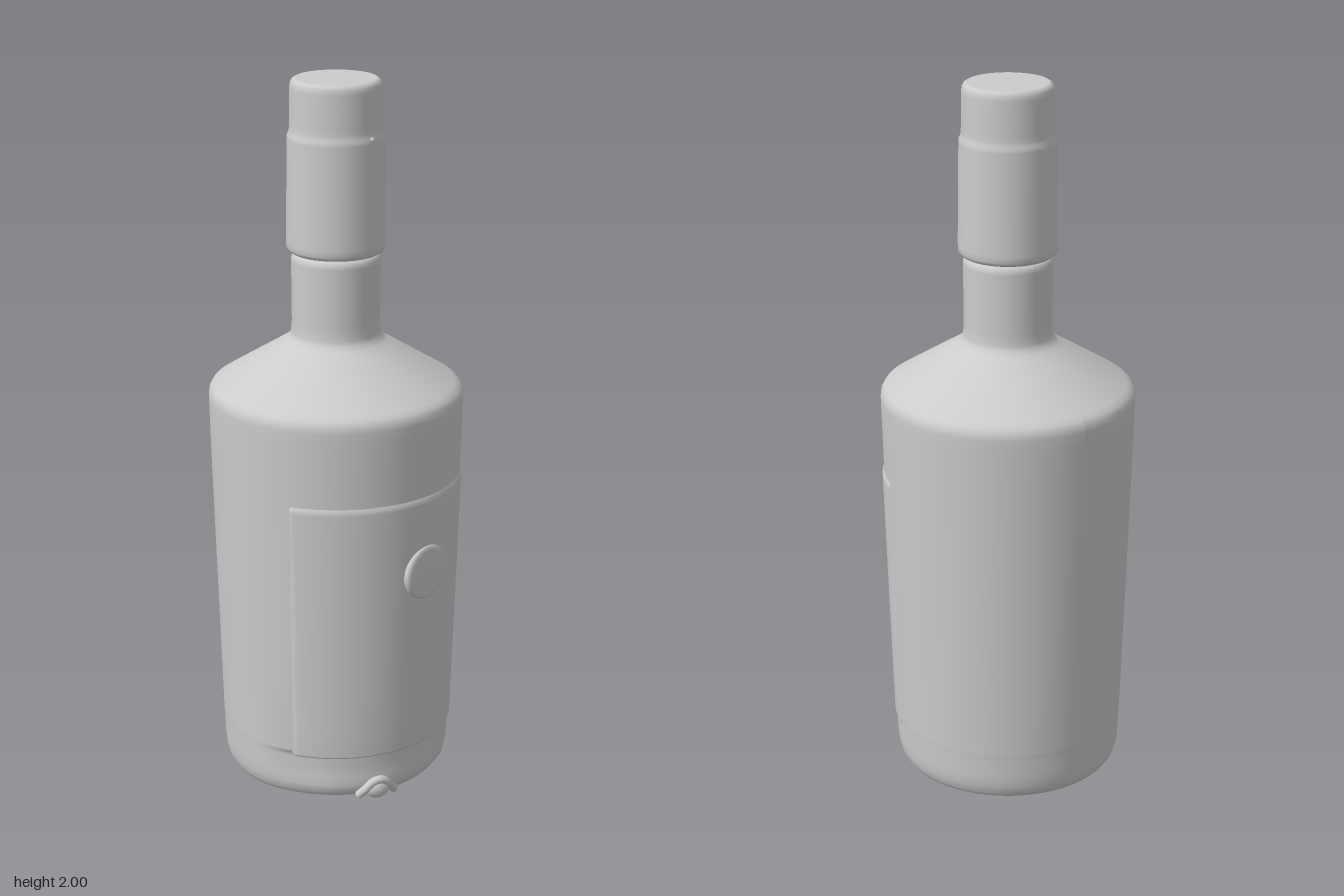
import * as THREE from 'three';

const material = new THREE.MeshStandardMaterial({ color: 0xcccccc, side: THREE.DoubleSide });

// Radius of the gently tapering bottle wall at height y
const wallRadius = (y) => 0.322 + 0.0305 * y;

function lathe(name, profile, segments = 96, start = Math.PI, length = Math.PI * 2) {
  const points = profile.map(([r, y]) => new THREE.Vector2(r, y));
  const mesh = new THREE.Mesh(new THREE.LatheGeometry(points, segments, start, length), material);
  mesh.name = name;
  return mesh;
}

// Bottle glass: base, tapered wall, sloping shoulder and neck
function createBottle() {
  const profile = [
    [0, 0], [0.285, 0], [0.288, 0], [0.304, 0.008], [0.314, 0.022], [0.32, 0.045], [0.323, 0.07],
    [0.324, 0.1], [0.325, 0.13], [0.326, 0.142], [0.327, 0.155],
    [wallRadius(0.5), 0.5], [wallRadius(0.9), 0.9], [0.354, 1.08], [0.355, 1.115],
    [0.353, 1.132], [0.345, 1.146], [0.33, 1.156], [0.16, 1.262], [0.14, 1.275], [0.128, 1.287],
    [0.124, 1.3], [0.122, 1.33], [0.123, 1.5], [0.122, 1.512], [0.116, 1.52], [0.108, 1.523], [0.108, 1.54],
  ];
  const bottle = lathe('bottle', profile);
  // The front of the foot is set back beneath the label
  const position = bottle.geometry.attributes.position;
  for (let i = 0; i < position.count; i++) {
    const x = position.getX(i), y = position.getY(i), z = position.getZ(i);
    if (y > 0.145) continue;
    const facing = Math.max(0, Math.cos(Math.atan2(x, z) + 0.3));
    const amount = THREE.MathUtils.smoothstep(facing, 0.4, 0.85);
    const scale = 1 - 0.055 * amount * (y < 0.05 ? 0.6 : 1);
    position.setX(i, x * scale);
    position.setZ(i, z * scale);
  }
  bottle.geometry.computeVertexNormals();
  return bottle;
}

// Raised label wrapped round the front, its side edges folded into the wall
function createLabel() {
  const lift = 0.005, bottom = 0.14, top = 0.9;
  const profile = [[0.3, bottom], [wallRadius(bottom) + 0.002, bottom], [wallRadius(bottom) + lift, bottom + 0.006]];
  for (let i = 1; i <= 8; i++) {
    const y = bottom + ((top - 0.02 - bottom) * i) / 8;
    profile.push([wallRadius(y) + lift, y]);
  }
  profile.push([wallRadius(top) + 0.004, top - 0.008], [wallRadius(top) - 0.003, top + 0.003]);
  const start = -1.07, end = 1.33, segments = 64;
  const label = lathe('label', profile, segments, start, end - start);
  const position = label.geometry.attributes.position;
  for (let i = 0; i < position.count; i++) {
    const column = Math.floor(i / profile.length);
    if (column > 0 && column < segments) continue;
    position.setX(i, position.getX(i) * 0.97);
    position.setZ(i, position.getZ(i) * 0.97);
  }
  label.geometry.computeVertexNormals();
  return label;
}

// Round seal pressed onto the label
function createSeal() {
  const seal = lathe('seal', [
    [0.079, -0.025], [0.079, 0], [0.077, 0.006], [0.071, 0.01], [0.062, 0.0105], [0.03, 0.011], [0, 0.011],
  ], 40);
  seal.rotation.x = Math.PI / 2;
  const holder = new THREE.Group();
  holder.name = 'sealMount';
  seal.position.z = wallRadius(0.675) + 0.003;
  holder.add(seal);
  holder.position.y = 0.675;
  holder.rotation.y = 0.118;
  return holder;
}

// Small arched lug on the front of the foot
function createFootLug() {
  const lug = new THREE.Group();
  lug.name = 'footLug';
  const path = new THREE.CatmullRomCurve3([
    [-0.055, 0.014, -0.012], [-0.036, 0.036, 0], [-0.018, 0.056, 0.006], [0, 0.062, 0.008],
    [0.018, 0.056, 0.006], [0.036, 0.036, 0], [0.055, 0.014, -0.012],
  ].map((p) => new THREE.Vector3(...p)));
  const arch = new THREE.Mesh(new THREE.TubeGeometry(path, 32, 0.012, 12), material);
  arch.name = 'lugArch';
  const core = new THREE.Mesh(new THREE.SphereGeometry(1, 24, 16), material);
  core.name = 'lugCore';
  core.scale.set(0.036, 0.03, 0.024);
  core.position.set(0, 0.032, -0.004);
  lug.add(arch, core);
  lug.position.set(-0.093, 0, 0.305);
  lug.rotation.y = -0.3;
  return lug;
}

// Sleeve and stopper closing the neck
function createCap() {
  const cap = new THREE.Group();
  cap.name = 'cap';
  cap.add(lathe('capSleeve', [
    [0.1, 1.527], [0.126, 1.527], [0.132, 1.531], [0.136, 1.539], [0.137, 1.555], [0.1345, 1.7],
    [0.133, 1.838], [0.132, 1.848], [0.128, 1.856], [0.1265, 1.866], [0.126, 1.88],
    [0.125, 1.975], [0.1235, 1.988], [0.119, 1.996], [0.112, 2], [0.108, 2], [0, 2],
  ]));
  const pin = new THREE.Mesh(new THREE.SphereGeometry(0.007, 12, 8), material);
  pin.name = 'capPin';
  pin.position.set(0.02, 1.85, 0.128);
  cap.add(pin);
  return cap;
}

export function createModel() {
  const model = new THREE.Group();
  model.name = 'bottleModel';
  model.add(createBottle(), createLabel(), createSeal(), createFootLug(), createCap());
  return model;
}
